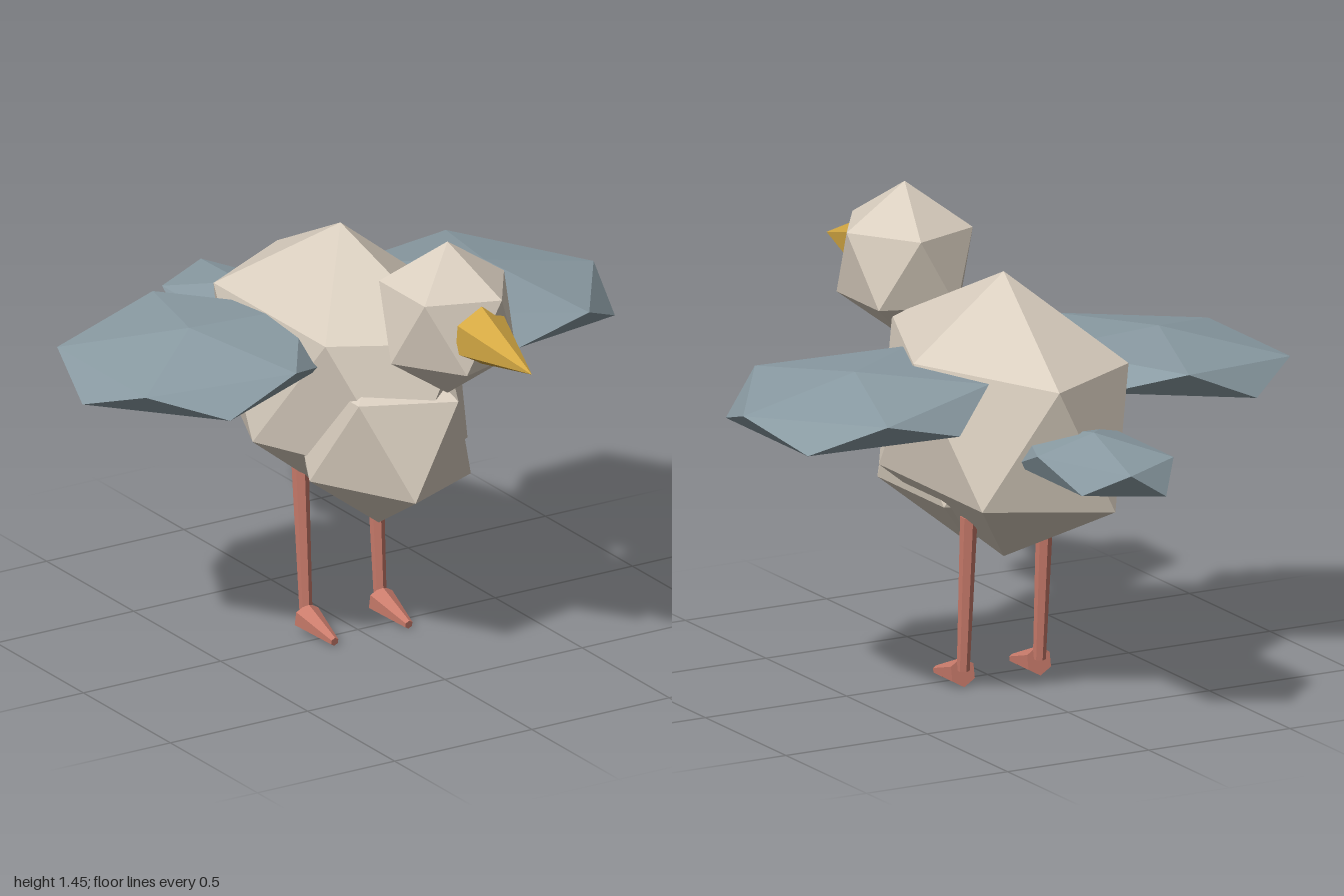
import * as THREE from 'three';

// Twenty-sided faceted ball: two poles and two staggered rings of five, points on the y axis
function facetedBall(rx, ry, rz) {
  const h = 1 / Math.sqrt(5), r = 2 * h;
  const pos = [0, ry, 0, 0, -ry, 0];
  for (let k = 0; k < 5; k++) {
    for (const [turn, y] of [[0, h], [0.5, -h]]) {
      const a = (k + turn) * Math.PI * 2 / 5;
      pos.push(Math.cos(a) * r * rx, y * ry, Math.sin(a) * r * rz);
    }
  }
  const upper = k => 2 + (k % 5) * 2, lower = k => 3 + (k % 5) * 2;
  const index = [];
  for (let k = 0; k < 5; k++) {
    index.push(0, upper(k + 1), upper(k));
    index.push(upper(k), upper(k + 1), lower(k));
    index.push(lower(k), upper(k + 1), lower(k + 1));
    index.push(1, lower(k), lower(k + 1));
  }
  const indexed = new THREE.BufferGeometry();
  indexed.setAttribute('position', new THREE.Float32BufferAttribute(pos, 3));
  indexed.setIndex(index);
  const geometry = indexed.toNonIndexed();
  geometry.computeVertexNormals();
  return geometry;
}

export function createModel() {
  const model = new THREE.Group();
  model.name = 'bird';

  const material = (name, color) => {
    const m = new THREE.MeshStandardMaterial({ color, flatShading: true });
    m.name = name;
    return m;
  };
  const cream = material('creamFeathers', 0xd9cebf);
  const slate = material('slateFeathers', 0x8a9ba3);
  const gold = material('goldBeak', 0xd4a843);
  const pink = material('pinkLegs', 0xc97b6b);

  const add = (name, geometry, mat) => {
    const mesh = new THREE.Mesh(geometry, mat);
    mesh.name = name;
    model.add(mesh);
    return mesh;
  };
  const ball = (name, mat, center, radii) => {
    const mesh = add(name, facetedBall(...radii), mat);
    mesh.position.set(...center);
    return mesh;
  };
  // Six-sided tapered rod from one point to another
  const rod = (name, mat, from, to, r0, r1) => {
    const a = new THREE.Vector3(...from), b = new THREE.Vector3(...to);
    const mesh = add(name, new THREE.CylinderGeometry(r1, r0, a.distanceTo(b), 6), mat);
    mesh.position.copy(a).add(b).multiplyScalar(0.5);
    mesh.quaternion.setFromUnitVectors(new THREE.Vector3(0, 1, 0), b.sub(a).normalize());
  };

  // Body, chest, head and tail
  ball('body', cream, [0, 0.865, -0.1], [0.358, 0.455, 0.611]);
  ball('chest', cream, [0, 0.742, 0.12], [0.282, 0.341, 0.394]);
  ball('head', cream, [0, 1.21, 0.515], [0.23, 0.25, 0.25]);
  ball('tail', slate, [0, 0.85, -0.66], [0.224, 0.09, 0.4]);

  // Beak
  rod('beak', gold, [0, 1.213, 0.7], [0, 1.18, 1], 0.097, 0);

  // Drooping wings, legs and feet
  for (const [side, s] of [['left', 1], ['right', -1]]) {
    ball(side + 'Wing', slate, [s * 0.53, 0.983, -0.12], [0.45, 0.095, 0.485])
      .rotation.z = -s * 0.087;
    const x = s * 0.135;
    rod(side + 'Leg', pink, [x, 0.06, -0.085], [x, 0.56, -0.12], 0.02, 0.027);
    rod(side + 'Foot', pink, [x, 0.053, -0.083], [x, 0.022, 0.08], 0.046, 0.014);
  }
  return model;
}
